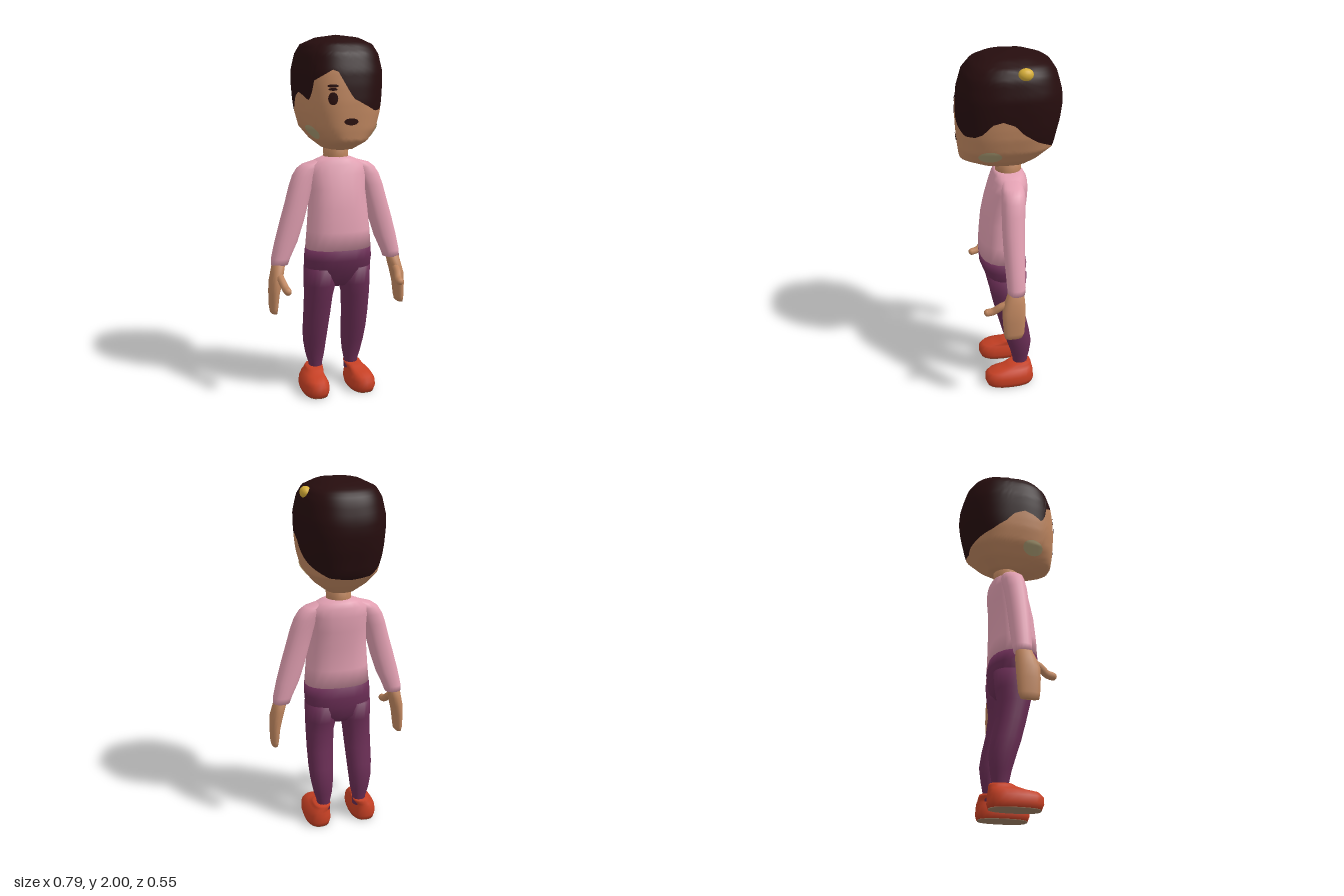
import * as THREE from 'three';

const lerp = THREE.MathUtils.lerp;
const mat = (name, color, side = THREE.FrontSide) =>
  Object.assign(new THREE.MeshStandardMaterial({ color, side }), { name });

// Closed-around grid; point(i / cols, row) returns [x, y, z]
function grid(cols, rows, point) {
  const pos = [], idx = [];
  for (let j = 0; j <= rows; j++)
    for (let i = 0; i < cols; i++) pos.push(...point(i / cols, j));
  for (let j = 0; j < rows; j++)
    for (let i = 0; i < cols; i++) {
      const a = j * cols + i, b = j * cols + (i + 1) % cols;
      idx.push(a, a + cols, b, b, a + cols, b + cols);
    }
  const g = new THREE.BufferGeometry();
  g.setAttribute('position', new THREE.Float32BufferAttribute(pos, 3));
  g.setIndex(idx);
  g.computeVertexNormals();
  return g;
}

// Stacked oval rings [y, xMin, xMax, zMin, zMax], bottom to top, closed at both ends
function loft(rings, side = 1, p = 2.3, cols = 20) {
  const flat = ([y, x0, x1, z0, z1]) => {
    const x = (x0 + x1) / 2, z = (z0 + z1) / 2;
    return [y, x, x, z, z];
  };
  const all = [flat(rings[0]), ...rings, flat(rings[rings.length - 1])];
  const bend = v => Math.sign(v) * Math.abs(v) ** (2 / p);
  return grid(cols, all.length - 1, (u, j) => {
    const [y, x0, x1, z0, z1] = all[j], t = u * Math.PI * 2;
    return [side * (x0 + x1) / 2 + (x1 - x0) / 2 * bend(Math.cos(t)), y,
      (z0 + z1) / 2 + (z1 - z0) / 2 * bend(Math.sin(t))];
  });
}

// Head profile: [y, half width, front depth, back depth]
const HEAD = [
  [1.385, 0.001, 0.001, 0.001], [1.40, 0.075, 0.15, 0.10], [1.45, 0.14, 0.262, 0.165],
  [1.515, 0.192, 0.27, 0.235], [1.60, 0.216, 0.275, 0.252], [1.66, 0.224, 0.277, 0.266],
  [1.74, 0.23, 0.273, 0.276], [1.81, 0.232, 0.265, 0.271], [1.90, 0.213, 0.238, 0.245],
  [1.95, 0.185, 0.195, 0.212], [1.985, 0.11, 0.13, 0.115], [2.0, 0.001, 0.001, 0.001],
];
// Hairline height by angle from the face, in degrees towards +x
const HAIRLINE = [
  [-180, 1.50], [-153, 1.515], [-122, 1.575], [-102, 1.63], [-90, 1.68], [-75, 1.705],
  [-63, 1.69], [-51, 1.665], [-46, 1.69], [-42, 1.765], [-32, 1.79], [-21, 1.82], [-15, 1.81],
  [-10, 1.77], [-4, 1.72], [2, 1.675], [14, 1.645], [29, 1.61], [42, 1.615], [51, 1.635],
  [63, 1.69], [75, 1.705], [90, 1.68], [102, 1.63], [122, 1.575], [153, 1.515], [180, 1.50],
];
const P = 2.6;

// Fractional row of a sorted table for a key in column 0
function rowOf(table, key) {
  let k = 0;
  while (k < table.length - 2 && table[k + 1][0] < key) k++;
  return k + (key - table[k][0]) / (table[k + 1][0] - table[k][0]);
}
function sample(table, row) {
  const k = Math.min(Math.floor(row), table.length - 2);
  return table[k].map((v, c) => lerp(v, table[k + 1][c], row - k));
}
function headPoint(deg, row) {
  const [y, a, f, b] = sample(HEAD, row), t = THREE.MathUtils.degToRad(deg);
  const s = Math.sin(t), c = Math.cos(t);
  const r = ((Math.abs(s) / a) ** P + (Math.abs(c) / (c > 0 ? f : b)) ** P) ** (-1 / P);
  return [r * s, y, r * c];
}

// Thin oval laid on the head: side 0 is the face, +1 / -1 are the cheeks
function patch(u0, y0, ru, ry, side = 0, segments = 24) {
  const g = new THREE.RingGeometry(0.001, 1, segments, 5), q = g.attributes.position;
  for (let i = 0; i < q.count; i++) {
    const u = u0 + q.getX(i) * ru, y = y0 + q.getY(i) * ry;
    const [, a, f] = sample(HEAD, rowOf(HEAD, y));
    const out = (w, h) => h * Math.max(0, 1 - Math.abs(u / w) ** P) ** (1 / P) + 0.004;
    if (side) q.setXYZ(i, side * out(f, a), y, u);
    else q.setXYZ(i, u, y, out(a, f));
  }
  g.computeVertexNormals();
  return g;
}

export function createModel() {
  const skin = mat('skin', 0xc08760), hair = mat('hair', 0x260d0e);
  const shirt = mat('shirt', 0xe2a0b2), trousers = mat('trousers', 0x692d54);
  const shoe = mat('shoe', 0xc64024), sole = mat('sole', 0x9c7d62);
  const blush = mat('cheek', 0xa99a72, THREE.DoubleSide);
  const ink = mat('faceInk', 0x2a0f0e, THREE.DoubleSide);
  const gold = mat('gold', 0xd6ae38);

  const model = new THREE.Group();
  model.name = 'figure';
  const add = (name, geometry, material) => {
    const m = new THREE.Mesh(geometry, material);
    m.name = name;
    model.add(m);
    return m;
  };

  // Head: skin rows below the hairline, hair rows above it
  const COLS = 120, HALF = 22;
  const headGeo = grid(COLS, HALF * 2, (u, j) => {
    const deg = 180 - u * 360;
    const line = rowOf(HEAD, sample(HAIRLINE, rowOf(HAIRLINE, deg))[1]);
    const row = j <= HALF ? lerp(0, line, j / HALF)
      : lerp(line, HEAD.length - 1, (j - HALF) / HALF);
    return headPoint(deg, row);
  });
  headGeo.addGroup(0, COLS * HALF * 6, 0);
  headGeo.addGroup(COLS * HALF * 6, COLS * HALF * 6, 1);
  add('headAndHair', headGeo, [skin, hair]);

  // Face
  add('eye', patch(-0.1, 1.675, 0.024, 0.032), ink);
  add('eyelash', patch(-0.1, 1.722, 0.022, 0.007), ink);
  add('eyebrow', patch(-0.1, 1.739, 0.028, 0.008), ink);
  add('mouth', patch(-0.005, 1.557, 0.038, 0.018), ink);
  for (const s of [1, -1]) add('cheekSpot', patch(0.12, 1.497, 0.06, 0.038, s), blush);

  // Hair bobble
  const bobble = add('hairBobble', new THREE.SphereGeometry(1, 16, 12), gold);
  bobble.scale.set(0.03, 0.032, 0.039);
  bobble.position.set(0.19, 1.93, -0.055);

  // Neck, torso and hips
  add('neck', loft([
    [1.30, -0.075, 0.075, -0.075, 0.075], [1.36, -0.068, 0.068, -0.07, 0.07],
    [1.44, -0.07, 0.07, -0.075, 0.08],
  ], 1, 2), skin);
  add('torso', loft([
    [0.85, -0.185, 0.185, -0.088, 0.168], [0.95, -0.177, 0.177, -0.08, 0.164],
    [1.08, -0.165, 0.165, -0.085, 0.152], [1.18, -0.158, 0.158, -0.098, 0.132],
    [1.26, -0.17, 0.17, -0.102, 0.108], [1.31, -0.165, 0.165, -0.096, 0.09],
    [1.335, -0.115, 0.115, -0.082, 0.08], [1.352, -0.07, 0.07, -0.07, 0.07],
  ]), shirt);
  add('hips', loft([
    [0.63, -0.08, 0.08, -0.05, 0.08], [0.67, -0.16, 0.16, -0.08, 0.112],
    [0.73, -0.188, 0.188, -0.095, 0.142], [0.79, -0.19, 0.19, -0.1, 0.165],
    [0.85, -0.186, 0.186, -0.09, 0.169],
  ]), trousers);

  for (const s of [1, -1]) {
    const label = s > 0 ? 'left' : 'right';

    add(label + 'Leg', loft([
      [0.09, 0.07, 0.145, -0.095, -0.015], [0.14, 0.07, 0.147, -0.097, -0.01],
      [0.20, 0.058, 0.165, -0.107, 0.002], [0.28, 0.05, 0.18, -0.116, 0.026],
      [0.36, 0.045, 0.186, -0.104, 0.052], [0.46, 0.038, 0.188, -0.082, 0.078],
      [0.57, 0.03, 0.188, -0.07, 0.105], [0.64, 0.014, 0.189, -0.08, 0.12],
      [0.74, 0.01, 0.188, -0.09, 0.135],
    ], s, 2.2), trousers);

    add(label + 'Shoe', loft([
      [0.004, 0.066, 0.208, -0.122, 0.15], [0.03, 0.06, 0.215, -0.13, 0.161],
      [0.065, 0.063, 0.212, -0.128, 0.16], [0.09, 0.075, 0.198, -0.124, 0.138],
      [0.102, 0.078, 0.182, -0.12, 0.08], [0.118, 0.07, 0.17, -0.118, 0.03],
      [0.13, 0.07, 0.163, -0.113, 0.01],
    ], s, 2.5), shoe);
    add(label + 'Sole', loft([
      [0, 0.068, 0.206, -0.12, 0.148], [0.006, 0.068, 0.206, -0.12, 0.148],
    ], s, 2.5), sole);

    add(label + 'Sleeve', loft([
      [0.765, 0.283, 0.377, -0.036, 0.058], [0.80, 0.27, 0.375, -0.04, 0.06],
      [0.89, 0.228, 0.355, -0.043, 0.064], [1.0, 0.192, 0.325, -0.046, 0.068],
      [1.1, 0.165, 0.295, -0.05, 0.07], [1.19, 0.14, 0.27, -0.056, 0.068],
      [1.25, 0.11, 0.248, -0.062, 0.064], [1.29, 0.09, 0.222, -0.062, 0.06],
      [1.313, 0.07, 0.19, -0.055, 0.053], [1.335, 0.05, 0.11, -0.04, 0.04],
    ], s, 2.2), shirt);

    add(label + 'Hand', loft([
      [0.50, 0.355, 0.39, -0.015, 0.08], [0.53, 0.35, 0.394, -0.027, 0.086],
      [0.61, 0.34, 0.396, -0.033, 0.092], [0.67, 0.325, 0.394, -0.034, 0.092],
      [0.72, 0.312, 0.383, -0.034, 0.078], [0.79, 0.295, 0.368, -0.026, 0.048],
    ], s), skin);
    const thumb = new THREE.CatmullRomCurve3([[0.342, 0.715, 0.04], [0.338, 0.69, 0.095],
      [0.328, 0.658, 0.135], [0.324, 0.65, 0.168]]
      .map(([x, y, z]) => new THREE.Vector3(s * x, y, z)));
    add(label + 'Thumb', new THREE.TubeGeometry(thumb, 10, 0.021, 10), skin);
    const tip = add(label + 'ThumbTip', new THREE.SphereGeometry(0.021, 10, 8), skin);
    tip.position.set(s * 0.324, 0.65, 0.168);
  }
  return model;
}
